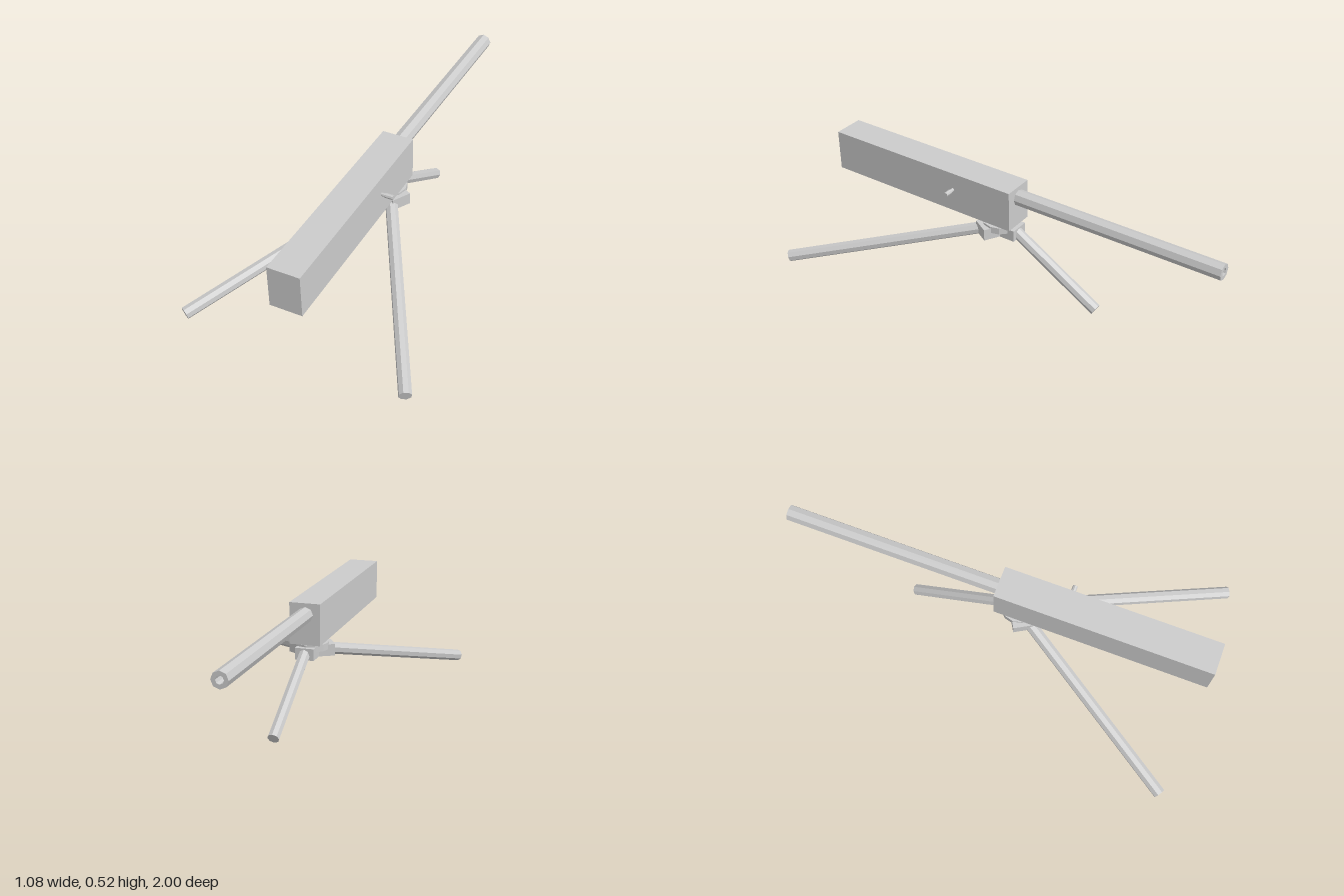
import * as THREE from 'three';

const mat = new THREE.MeshStandardMaterial({ color: 0xcccccc, flatShading: true });
const CX = 0.0125; // centre line of the weapon

export function createModel() {
  const group = new THREE.Group();

  const add = (name, geometry, x = 0, y = 0, z = 0) => {
    const mesh = new THREE.Mesh(geometry, mat);
    mesh.name = name;
    mesh.position.set(x, y, z);
    group.add(mesh);
    return mesh;
  };

  // eight-sided rod between two points
  const rod = (name, from, to, radius) => {
    const a = new THREE.Vector3(...from), b = new THREE.Vector3(...to);
    const dir = b.clone().sub(a);
    const mesh = add(name, new THREE.CylinderGeometry(radius, radius, dir.length(), 8));
    mesh.position.copy(a).add(b).multiplyScalar(0.5);
    mesh.quaternion.setFromUnitVectors(new THREE.Vector3(0, 1, 0), dir.normalize());
  };

  // receiver
  add('receiver', new THREE.BoxGeometry(0.146, 0.195, 0.997), CX, 0.4275, 0.5015);

  // barrel with an open bore
  const profile = [[0.037, 0], [0.037, 1.01], [0.018, 1.01], [0.018, 0.05], [0, 0.05]]
    .map(([r, h]) => new THREE.Vector2(r, h));
  const barrelGeo = new THREE.LatheGeometry(profile, 8);
  barrelGeo.rotateX(-Math.PI / 2);
  add('barrel', barrelGeo, 0.01, 0.471, 0.01);

  // cocking handle
  rod('handleStem', [0.08, 0.44, 0.313], [0.105, 0.44, 0.313], 0.008);
  rod('handleGrip', [0.103, 0.44, 0.313], [0.141, 0.44, 0.313], 0.011);

  // swivel between receiver and tripod
  add('swivelDisc', new THREE.CylinderGeometry(0.084, 0.084, 0.032, 12), CX, 0.308, 0.1);
  add('swivelPin', new THREE.CylinderGeometry(0.04, 0.04, 0.03, 8), CX, 0.318, 0.1);

  // tripod head: three lugs around the pivot
  for (let i = 0; i < 3; i++) {
    const lugGeo = new THREE.BoxGeometry(0.09, 0.055, 0.103);
    lugGeo.translate(0, 0, -0.0515);
    lugGeo.rotateY(i * Math.PI * 2 / 3);
    add('tripodLug', lugGeo, CX, 0.2875, 0.1);
  }

  // legs
  rod('rearLeg', [CX + 0.002, 0.292, 0.02], [CX + 0.002, 0.029, -0.418], 0.027);
  rod('leftFrontLeg', [0.05, 0.283, 0.15], [0.512, 0.06, 0.974], 0.028);
  rod('rightFrontLeg', [-0.028, 0.283, 0.15], [-0.515, 0.06, 0.966], 0.028);

  return group;
}
